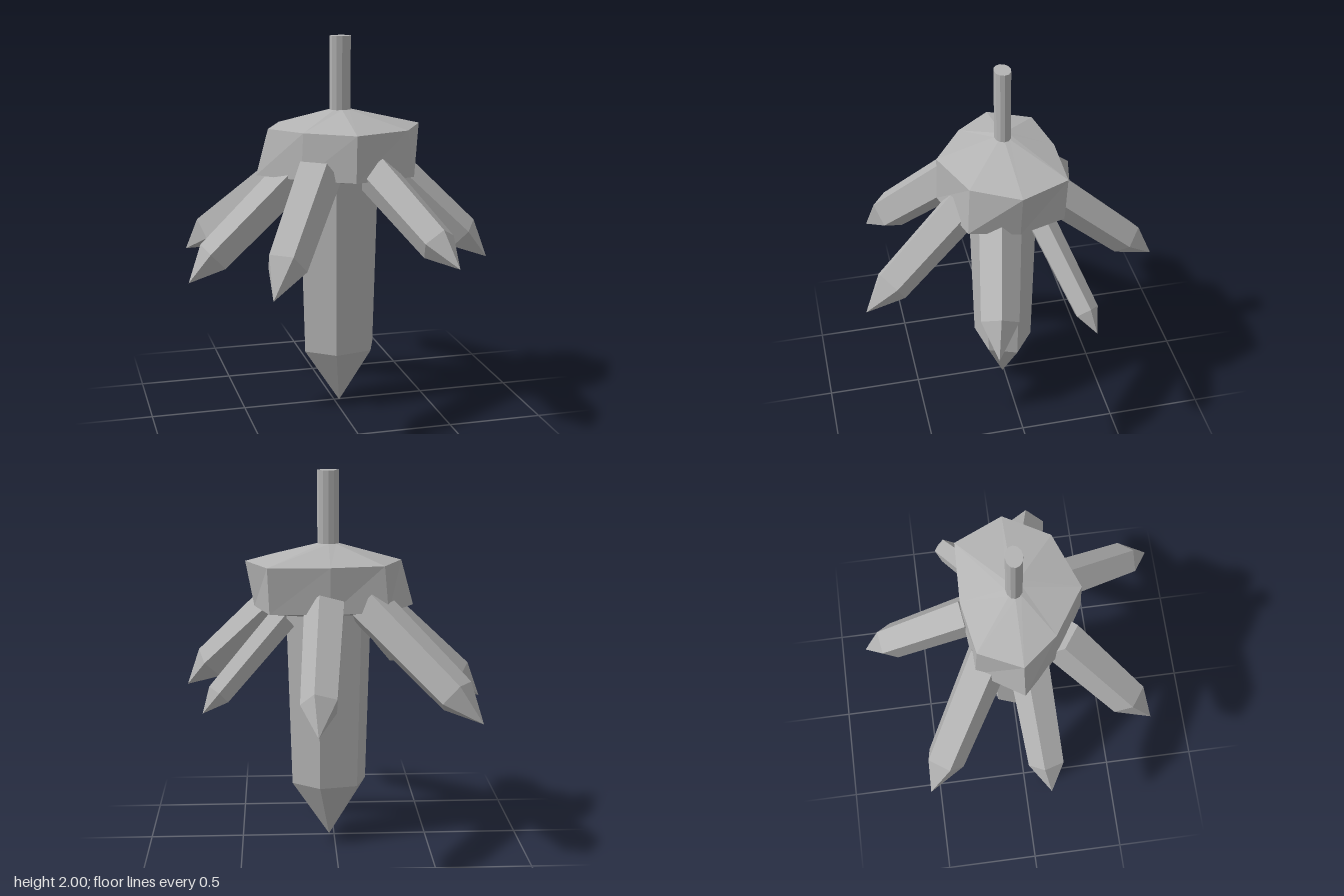
import * as THREE from 'three';

const CX = 0.03, CZ = 0.01;

// Skin a stack of rings (bottom to top) with flat faces; a one-point ring closes an end
function loft(rings) {
  const n = Math.max(...rings.map((r) => r.length));
  const at = (ring, i) => ring[i % ring.length];
  const pos = [];
  for (let k = 0; k < rings.length - 1; k++) {
    const lo = rings[k], up = rings[k + 1];
    for (let i = 0; i < n; i++) {
      if (lo.length > 1) pos.push(...at(lo, i + 1), ...at(lo, i), ...at(up, i));
      if (up.length > 1) pos.push(...at(lo, i + 1), ...at(up, i), ...at(up, i + 1));
    }
  }
  const g = new THREE.BufferGeometry();
  g.setAttribute('position', new THREE.Float32BufferAttribute(pos, 3));
  g.computeVertexNormals();
  return g;
}

// Regular polygon ring at height y
function ring(sides, rx, rz, y, rollDeg) {
  return Array.from({ length: sides }, (_, i) => {
    const a = THREE.MathUtils.degToRad(rollDeg) + (i * 2 * Math.PI) / sides;
    return [rx * Math.cos(a), y, rz * Math.sin(a)];
  });
}

export function createModel() {
  const group = new THREE.Group();
  const stone = new THREE.MeshStandardMaterial({ color: 0xb4b4b4, flatShading: true });
  stone.name = 'grey stone';
  const add = (name, geometry) => {
    const mesh = new THREE.Mesh(geometry, stone);
    mesh.name = name;
    group.add(mesh);
    return mesh;
  };

  // Hanging rod
  const rod = add('rod', new THREE.CylinderGeometry(0.057, 0.057, 0.42, 12));
  rod.scale.z = 0.76;
  rod.position.set(CX, 1.79, CZ);

  // Irregular eight-sided cap: [x, z] corners of upper and lower rims
  const upperRim = [[0.465, 0.005], [0.33, 0.24], [0.03, 0.35], [-0.21, 0.19],
    [-0.355, 0.01], [-0.25, -0.21], [0.03, -0.26], [0.35, -0.25]];
  const lowerRim = [[0.42, 0.005], [0.36, 0.257], [0.025, 0.355], [-0.225, 0.205],
    [-0.42, 0.01], [-0.27, -0.225], [0.03, -0.255], [0.34, -0.24]];
  const collar = ring(8, 0.057, 0.043, 1.62, 0).map(([x, y, z]) => [x + CX, y, z + CZ]);
  add('cap', loft([
    [[CX, 1.22, CZ]],
    lowerRim.map(([x, z]) => [x, 1.29, z]),
    upperRim.map(([x, z]) => [x, 1.53, z]),
    collar,
    [[CX, 1.62, CZ]],
  ]));

  // Large central crystal pointing down
  const core = add('centralCrystal', loft([
    [[0, 0, 0]],
    ring(6, 0.207, 0.155, 0.31, 45),
    ring(6, 0.24, 0.18, 1.45, 45),
    [[0, 1.45, 0]],
  ]));
  core.position.set(CX - 0.003, 0.005, CZ);

  // Small crystals fanning out below the cap: base, tip, radius, roll
  const shards = [
    { base: [0.05, 1.31, -0.2], tip: [0.11, 0.8, -0.8], r: 0.1, roll: 75 },
    { base: [0.27, 1.25, -0.13], tip: [0.685, 0.8, -0.335], r: 0.066, roll: 80 },
    { base: [0.28, 1.31, 0.08], tip: [0.795, 0.82, 0.195], r: 0.1, roll: 96 },
    { base: [0.16, 1.31, 0.25], tip: [0.425, 0.935, 0.795], r: 0.097, roll: 84 },
    { base: [-0.14, 1.32, 0.22], tip: [-0.475, 0.81, 0.685], r: 0.108, roll: 55 },
    { base: [-0.2, 1.31, 0.05], tip: [-0.8, 0.76, 0.105], r: 0.097, roll: 75 },
    { base: [-0.17, 1.31, -0.14], tip: [-0.725, 0.78, -0.53], r: 0.107, roll: 55 },
  ];
  shards.forEach(({ base, tip, r, roll }, i) => {
    const start = new THREE.Vector3(...base);
    const axis = new THREE.Vector3(...tip).sub(start);
    const length = axis.length();
    axis.normalize();
    const side = axis.clone().cross(new THREE.Vector3(0, 1, 0)).normalize();
    const top = side.clone().cross(axis);
    const geometry = loft([
      [[0, 0, 0]],
      ring(5, r * 1.13, r * 1.13, 0, roll),
      ring(5, r, r, length - 1.9 * r, roll),
      [[0, length, 0]],
    ]);
    geometry.applyMatrix4(new THREE.Matrix4().makeBasis(side, axis, top).setPosition(start));
    add('sideCrystal' + (i + 1), geometry);
  });

  return group;
}
